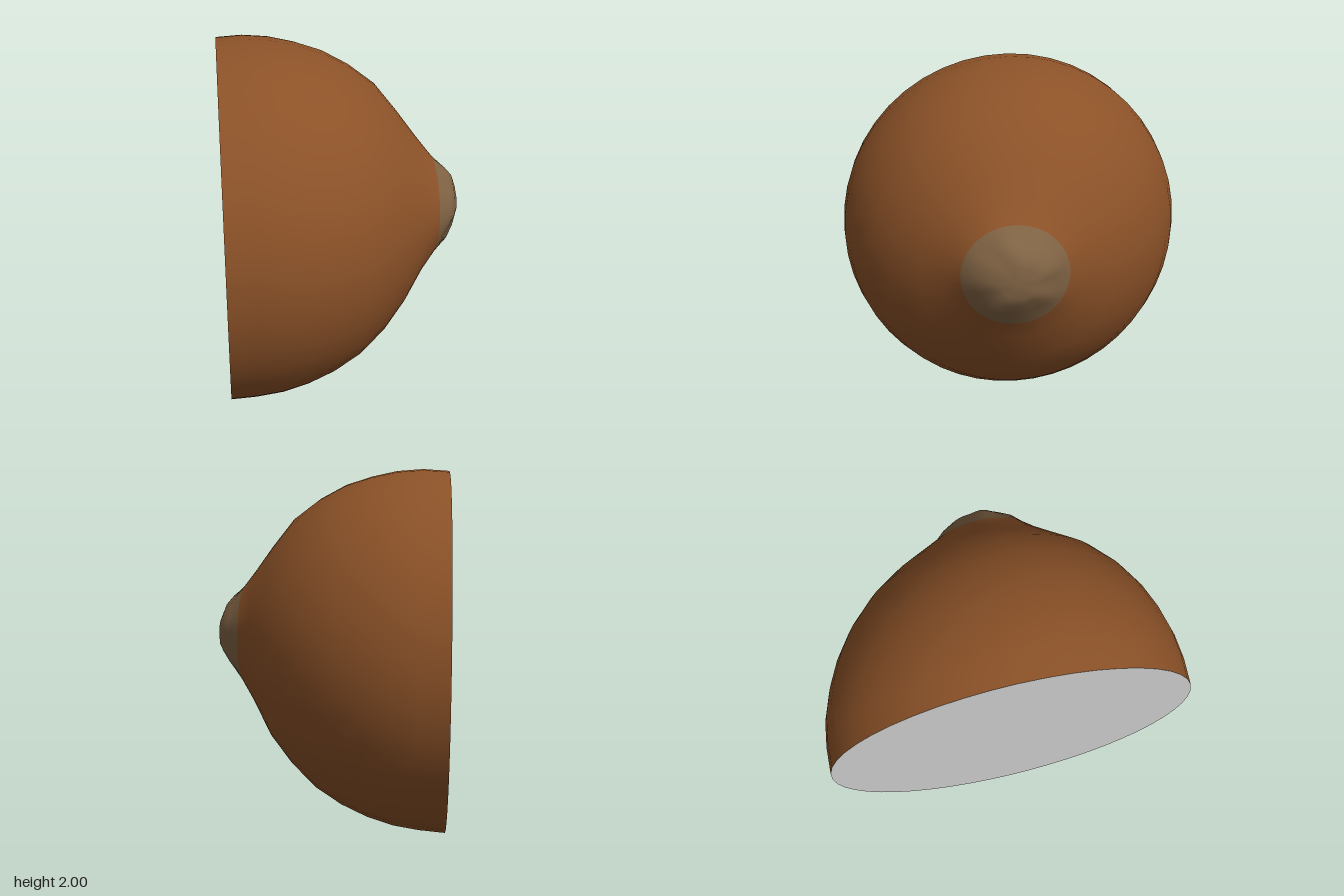
import * as THREE from 'three';

const SIDES = 48;

// Cross-sections along x: [x, top y, bottom y, front z, back z]
const SECTIONS = [
  [-0.64, 1.99, 0.005, 0.985, -0.995],
  [-0.5, 2.0, 0.015, 0.99, -0.99],
  [-0.36, 1.99, 0.035, 0.98, -0.97],
  [-0.22, 1.96, 0.075, 0.95, -0.925],
  [-0.08, 1.915, 0.135, 0.9, -0.86],
  [0.06, 1.84, 0.22, 0.825, -0.77],
  [0.2, 1.735, 0.35, 0.71, -0.64],
  [0.32, 1.585, 0.5, 0.57, -0.495],
  [0.42, 1.45, 0.68, 0.45, -0.33],
  [0.5, 1.35, 0.8, 0.37, -0.2],
  [0.57, 1.28, 0.89, 0.31, -0.12],
  [0.61, 1.235, 0.95, 0.24, -0.06],
  [0.635, 1.17, 1.0, 0.17, -0.01],
];
const TIP_ROW = 9;

// One closed ring of points; the rings at the tip are gently puckered
function ring([x, top, bottom, front, back], row) {
  const points = [];
  const pucker = row > TIP_ROW ? 0.045 : 0;
  for (let j = 0; j < SIDES; j++) {
    const a = (j / SIDES) * Math.PI * 2;
    const r = 1 + pucker * (Math.sin(5 * a + 0.6) + 0.5 * Math.sin(8 * a));
    points.push(
      x,
      (top + bottom) / 2 + ((top - bottom) / 2) * r * Math.cos(a),
      (front + back) / 2 + ((front - back) / 2) * r * Math.sin(a)
    );
  }
  return points;
}

function addMesh(group, name, geometry, color) {
  const mesh = new THREE.Mesh(geometry, new THREE.MeshStandardMaterial({ color }));
  mesh.name = name;
  group.add(mesh);
}

export function createModel() {
  const group = new THREE.Group();
  group.name = 'halfFruit';

  // Loft the whole skin, collecting body and tip faces separately
  const positions = SECTIONS.flatMap(ring);
  const last = SECTIONS.length - 1;
  const center = SECTIONS.length * SIDES;
  positions.push(0.625, 1.07, 0.09);
  const bodyFaces = [];
  const tipFaces = [];
  for (let j = 0; j < SIDES; j++) {
    const k = (j + 1) % SIDES;
    for (let i = 0; i < last; i++) {
      const a = i * SIDES;
      const b = a + SIDES;
      (i < TIP_ROW ? bodyFaces : tipFaces).push(a + j, a + k, b + j, a + k, b + k, b + j);
    }
    tipFaces.push(last * SIDES + j, last * SIDES + k, center);
  }
  const body = new THREE.BufferGeometry();
  body.setAttribute('position', new THREE.Float32BufferAttribute(positions, 3));
  body.setIndex([...bodyFaces, ...tipFaces]);
  body.computeVertexNormals();

  // Both parts share the same normals, so the join stays smooth
  const tip = body.clone();
  body.setIndex(bodyFaces);
  tip.setIndex(tipFaces);
  addMesh(group, 'skin', body, 0x8c5228);
  addMesh(group, 'tip', tip, 0x806344);

  // Flat cut face
  const cut = new THREE.BufferGeometry();
  const cutPoints = [...ring(SECTIONS[0], 0), SECTIONS[0][0], 1, 0];
  const cutFaces = [];
  for (let j = 0; j < SIDES; j++) cutFaces.push(SIDES, (j + 1) % SIDES, j);
  cut.setAttribute('position', new THREE.Float32BufferAttribute(cutPoints, 3));
  cut.setIndex(cutFaces);
  cut.computeVertexNormals();
  addMesh(group, 'cutFace', cut, 0xcccccc);

  return group;
}
